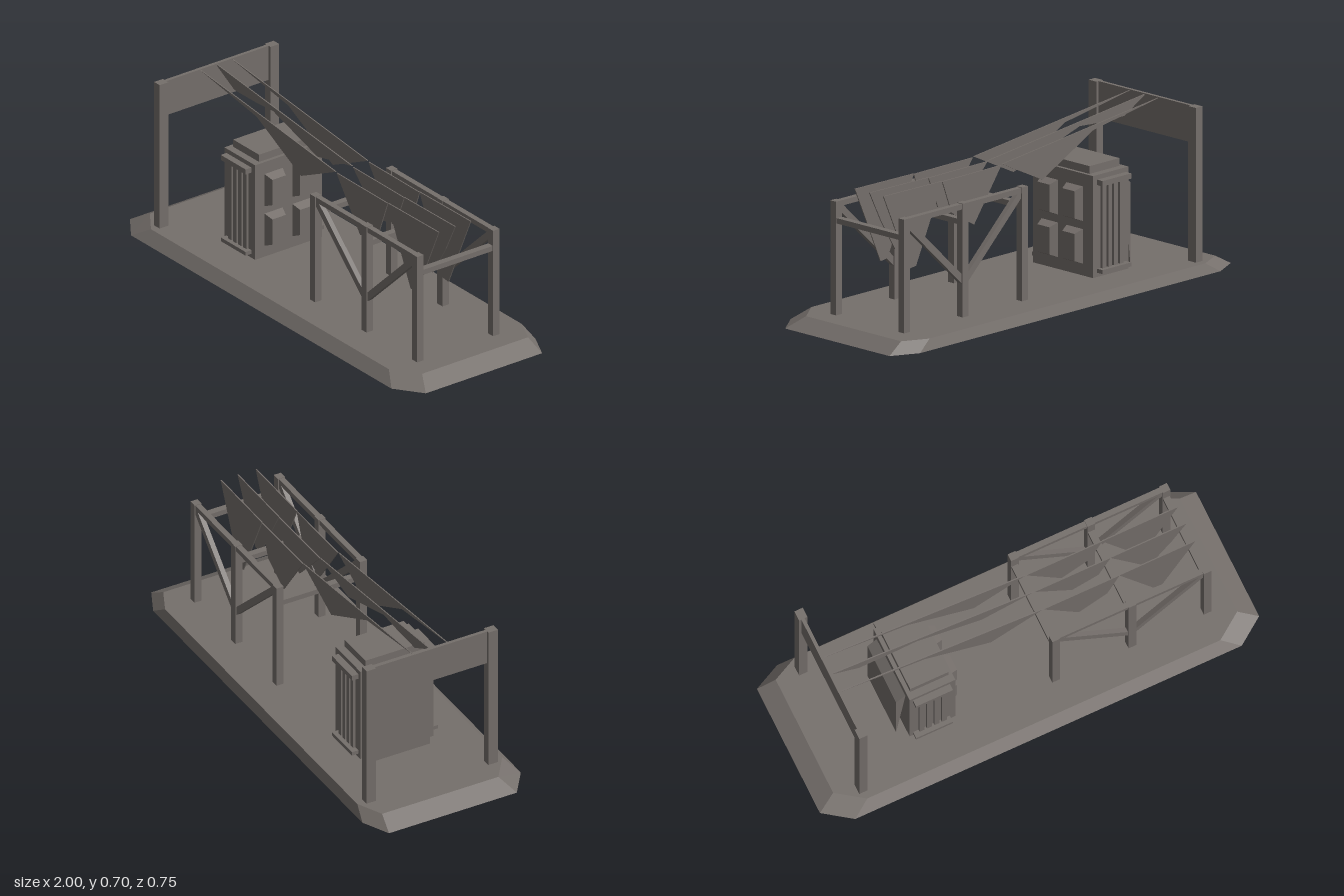
import * as THREE from 'three';
import { ConvexGeometry } from 'three/addons/geometries/ConvexGeometry.js';

export function createModel() {
  const root = new THREE.Group();
  root.name = 'canopyStand';
  const stone = new THREE.MeshStandardMaterial({ color: 0x756f6b });
  stone.name = 'warm grey';

  const add = (name, geometry, parent = root) => {
    const mesh = new THREE.Mesh(geometry, stone);
    mesh.name = name;
    parent.add(mesh);
    return mesh;
  };
  const group = (name) => {
    const g = new THREE.Group();
    g.name = name;
    root.add(g);
    return g;
  };
  // box given by its limits
  const box = (name, x0, x1, y0, y1, z0, z1, parent) =>
    add(name, new THREE.BoxGeometry(x1 - x0, y1 - y0, z1 - z0), parent)
      .position.set((x0 + x1) / 2, (y0 + y1) / 2, (z0 + z1) / 2);
  const hull = (name, points, parent) =>
    add(name, new ConvexGeometry(points.map((p) => new THREE.Vector3(...p))), parent);
  // flat outline in x and y, extruded between two z values
  const slab = (name, outline, z0, z1, parent) => {
    const shape = new THREE.Shape(outline.map(([x, y]) => new THREE.Vector2(x, y)));
    const geo = new THREE.ExtrudeGeometry(shape, { depth: z1 - z0, bevelEnabled: false });
    return add(name, geo.translate(0, 0, z0), parent);
  };

  // base with sloped rim and cut corners
  const rim = [];
  for (const s of [-1, 1]) {
    rim.push([s, 0, -0.315], [s * 0.88, 0, -0.373], [s * 0.88, 0, 0.373], [s, 0, 0.287]);
    rim.push([s * 0.92, 0.045, -0.303], [s * 0.808, 0.045, -0.357],
      [s * 0.804, 0.045, 0.328], [s * 0.92, 0.045, 0.245]);
  }
  hull('base', rim);

  // tall gate holding the upper end of the cloths
  const gate = group('gate');
  for (const z of [0.2735, -0.3005])
    box('gatePost', -0.825, -0.787, 0, 0.705, z - 0.0225, z + 0.0225, gate);
  box('gatePanel', -0.815, -0.8, 0.548, 0.705, -0.278, 0.251, gate);

  // cabinet
  const cabinet = group('cabinet');
  const mid = -0.015;
  box('cabinetBody', -0.53, -0.322, 0, 0.48, -0.187, 0.158, cabinet);
  box('cabinetCap', -0.512, -0.337, 0.48, 0.513, -0.153, 0.126, cabinet);
  for (const s of [-1, 1]) {
    const side = (name, x0, x1, y0, y1, depth) => {
      const a = mid + s * 0.165, b = mid + s * depth;
      box(name, x0, x1, y0, y1, Math.min(a, b), Math.max(a, b), cabinet);
    };
    side('upperTrim', -0.515, -0.347, 0.437, 0.46, 0.203);
    side('lowerTrim', -0.515, -0.347, 0.063, 0.08, 0.203);
    for (let i = 0; i < 4; i++) {
      const x = -0.49 + i * 0.034;
      side('sideRib', x, x + 0.022, 0.08, 0.437, 0.184);
    }
  }
  // raised panels on the +x face
  for (const z of [0.0625, -0.0815]) for (const y of [0.169, 0.351]) {
    const pts = [];
    for (const a of [-1, 1]) for (const b of [-1, 1])
      pts.push([-0.322, y + a * 0.074, z + b * 0.047], [-0.285, y + a * 0.058, z + b * 0.035]);
    hull('raisedPanel', pts, cabinet);
  }
  // leaning wedge on the -x face
  slab('backWedge', [[-0.572, 0.045], [-0.529, 0.435], [-0.572, 0.4]], -0.157, 0.117, cabinet);

  // timber frame with V braces
  const frame = group('frame');
  for (const z of [0.1815, -0.2115]) {
    for (const x of [0.118, 0.4655, 0.808])
      box('framePost', x - 0.0175, x + 0.0175, 0, 0.53, z - 0.0165, z + 0.0165, frame);
    box('topRail', 0.118, 0.808, 0.505, 0.528, z - 0.0125, z + 0.0125, frame);
    for (const end of [0.13, 0.8])
      slab('brace', [[0.465, 0.172], [0.465, 0.212], [end, 0.528], [end, 0.488]],
        z - 0.011, z + 0.011, frame);
  }
  for (const x of [0.118, 0.4655, 0.808])
    box('crossBeam', x - 0.015, x + 0.015, 0.437, 0.46, -0.2, 0.17, frame);

  // three rows of hanging cloths, the middle row shallower
  const cloths = group('cloths');
  const outerRow = [
    [[-0.81, 0.702], [-0.42, 0.64], [-0.12, 0.487], [0.115, 0.6]],
    [[0.12, 0.597], [0.28, 0.375], [0.41, 0.45], [0.465, 0.595]],
    [[0.465, 0.597], [0.62, 0.267], [0.66, 0.262], [0.745, 0.455], [0.81, 0.6]],
  ];
  const middleRow = [
    [[-0.81, 0.702], [-0.68, 0.632], [-0.53, 0.633], [-0.42, 0.64], [-0.12, 0.55], [0.115, 0.6]],
    [[0.12, 0.597], [0.29, 0.42], [0.41, 0.46], [0.465, 0.595]],
    [[0.465, 0.597], [0.62, 0.325], [0.66, 0.33], [0.745, 0.47], [0.81, 0.6]],
  ];
  for (const [z, row] of [[0.073, outerRow], [-0.012, middleRow], [-0.092, outerRow]])
    for (const outline of row) slab('cloth', outline, z - 0.0025, z + 0.0025, cloths);

  return root;
}
